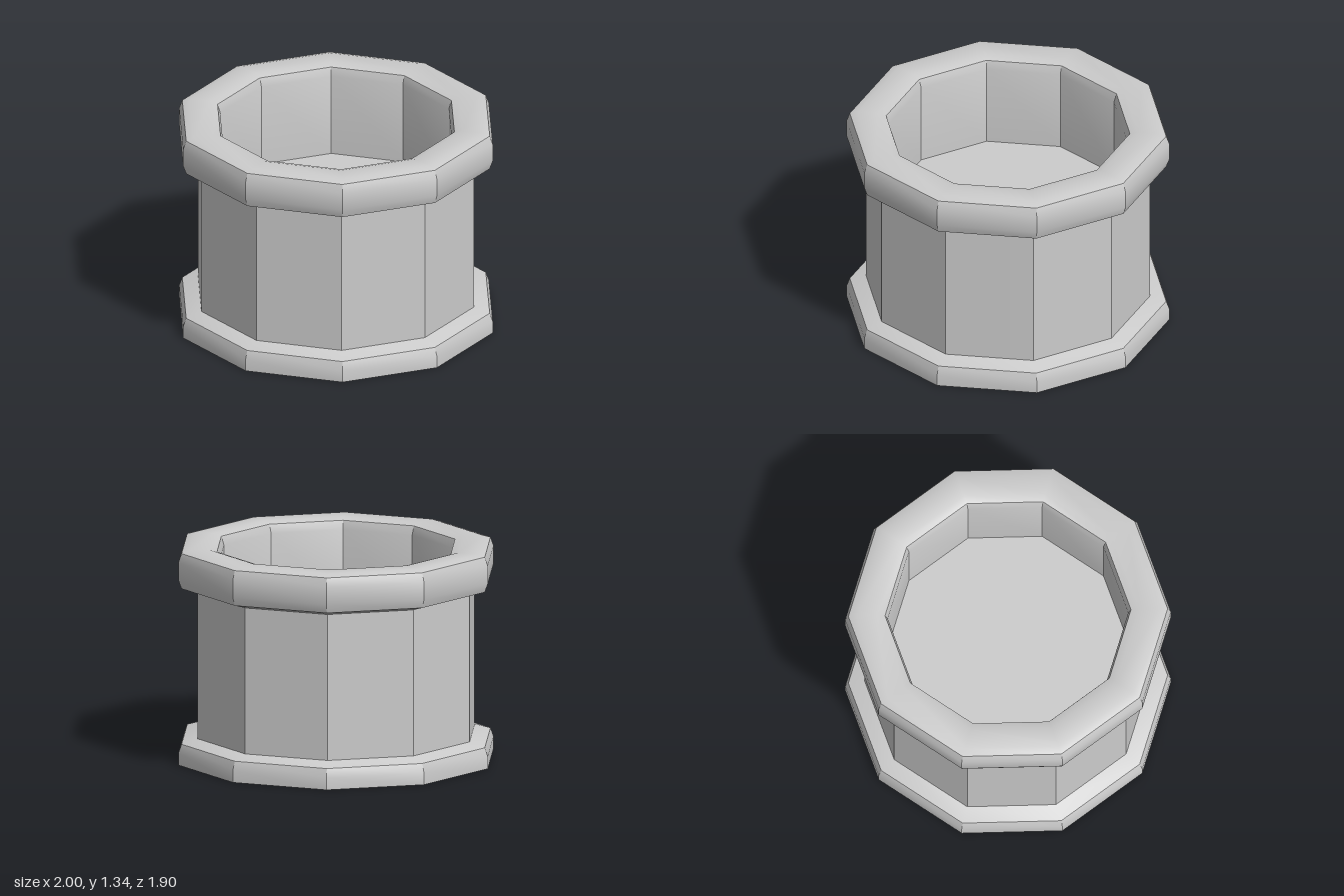
import * as THREE from 'three';
import { toCreasedNormals } from 'three/addons/utils/BufferGeometryUtils.js';

const SIDES = 10;
const FLOOR_Y = 0.75;

export function createModel() {
  const model = new THREE.Group();
  model.name = 'pot';
  const material = new THREE.MeshStandardMaterial({ color: 0xcccccc, side: THREE.DoubleSide });

  const add = (name, geometry) => {
    const mesh = new THREE.Mesh(geometry, material);
    mesh.name = name;
    model.add(mesh);
    return mesh;
  };

  // Ten-sided ring from a [radius, height] profile, with a corner on +x
  const ring = (name, profile) => {
    const points = profile.map(([r, y]) => new THREE.Vector2(r, y));
    const lathe = new THREE.LatheGeometry(points, SIDES, Math.PI / 2);
    return add(name, toCreasedNormals(lathe, 0.5));
  };

  // Hollow foot, open underneath
  ring('foot', [[1, 0], [1, 0.075], [0.98, 0.13], [0.88, 0.16]]);

  // Straight outer wall
  ring('outerWall', [[0.88, 0.16], [0.88, 1.075]]);

  // Thick bevelled rim running over into the inner wall
  ring('rimAndInnerWall', [
    [0.88, 1.075], [0.98, 1.105], [1, 1.16], [1, 1.27], [0.98, 1.325],
    [0.93, 1.34], [0.805, 1.34], [0.755, 1.325], [0.738, 1.27], [0.738, FLOOR_Y],
  ]);

  // Raised floor of the basin
  const floor = add('basinFloor', new THREE.CircleGeometry(0.738, SIDES).rotateX(-Math.PI / 2));
  floor.position.y = FLOOR_Y;

  return model;
}
